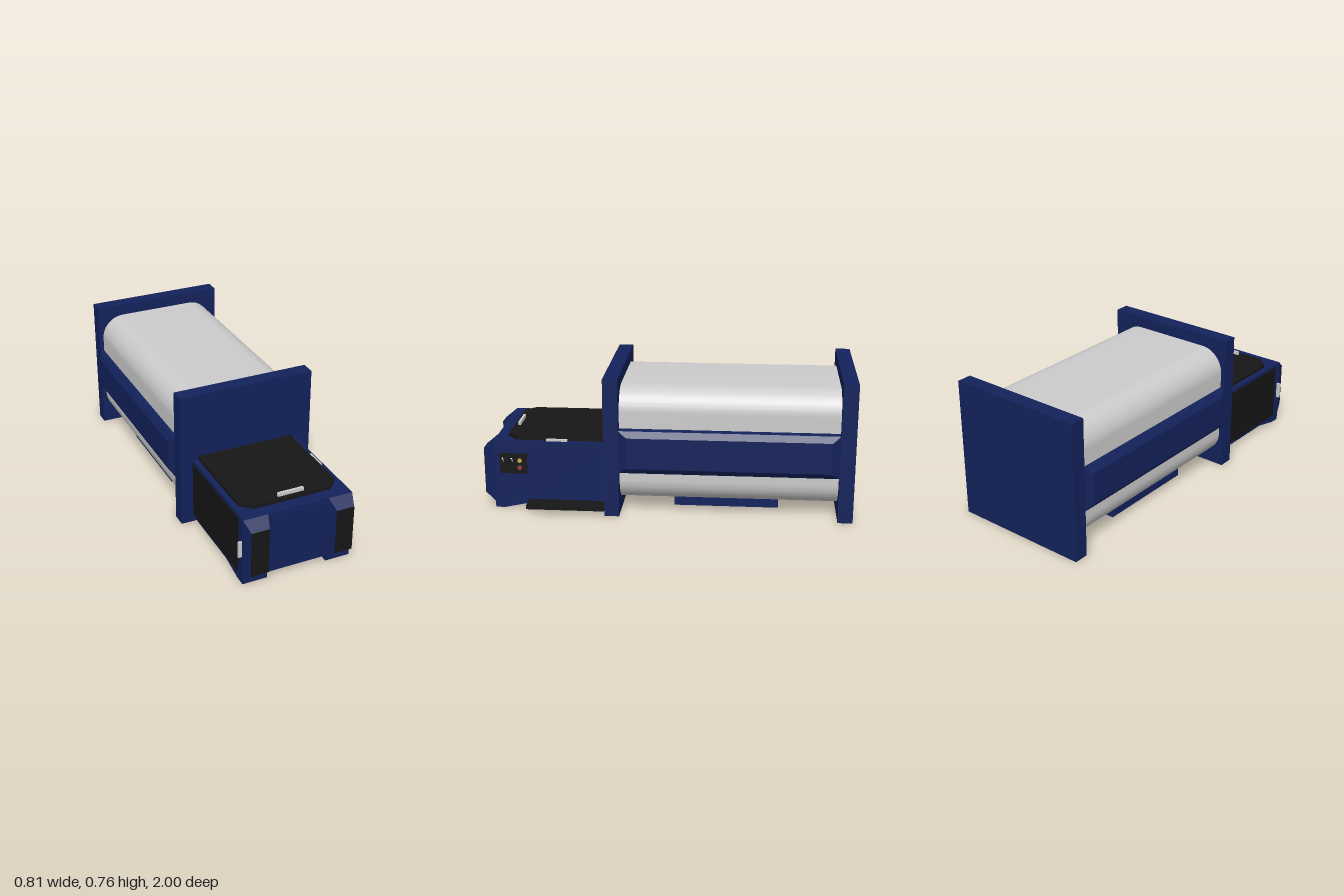
import * as THREE from 'three';
import { toCreasedNormals } from 'three/addons/utils/BufferGeometryUtils.js';

const mat = (color) => new THREE.MeshStandardMaterial({ color });

export function createModel() {
  const model = new THREE.Group();
  const navy = mat(0x13225b), black = mat(0x161616), grey = mat(0xcccccc);
  const yellow = mat(0xc8a850), red = mat(0x9a3a3a);

  const add = (name, geometry, material, parent = model) => {
    const mesh = new THREE.Mesh(geometry, material);
    mesh.name = name;
    parent.add(mesh);
    return mesh;
  };
  // Box given by its limits on each axis
  const box = (name, material, x0, x1, y0, y1, z0, z1) => {
    const g = new THREE.BoxGeometry(x1 - x0, y1 - y0, z1 - z0);
    g.translate((x0 + x1) / 2, (y0 + y1) / 2, (z0 + z1) / 2);
    return add(name, g, material);
  };
  // Box whose +z face is drawn in by insetX and insetY
  const taperedBox = (w, h, d, insetX, insetY) => {
    const g = new THREE.BoxGeometry(w, h, d).toNonIndexed();
    const p = g.attributes.position;
    for (let i = 0; i < p.count; i++) {
      if (p.getZ(i) < 0) continue;
      p.setX(i, p.getX(i) - Math.sign(p.getX(i)) * insetX);
      p.setY(i, p.getY(i) - Math.sign(p.getY(i)) * insetY);
    }
    g.computeVertexNormals();
    return g;
  };
  const polygon = (points) => new THREE.Shape(points.map(([x, y]) => new THREE.Vector2(x, y)));
  const extrude = (shape, depth, curveSegments = 12) =>
    new THREE.ExtrudeGeometry(shape, { depth, bevelEnabled: false, curveSegments });

  // End plates
  box('frontPlate', navy, -0.385, 0.378, 0, 0.765, 0.25, 0.33);
  box('backPlate', navy, -0.385, 0.378, 0, 0.765, -1, -0.92);

  // Rounded tank between the plates
  const x0 = -0.36, x1 = 0.332, y0 = 0.065, y1 = 0.7, r = 0.13;
  const outline = new THREE.Shape();
  outline.absarc(x1 - r, y0 + r, r, -Math.PI / 2, 0);
  outline.absarc(x1 - r, y1 - r, r, 0, Math.PI / 2);
  outline.absarc(x0 + r, y1 - r, r, Math.PI / 2, Math.PI);
  outline.absarc(x0 + r, y0 + r, r, Math.PI, Math.PI * 1.5);
  const tank = toCreasedNormals(extrude(outline, 1.17), 0.5);
  tank.translate(0, 0, -0.92);
  add('tank', tank, grey);
  box('tankUnderside', navy, x0 + r, x1 - r, 0.062, 0.08, -0.92, 0.25);
  box('bottomPlate', navy, -0.29, 0.26, 0.03, 0.075, -0.605, -0.04);

  // Side beams with chamfered outer faces and a raised panel
  for (const side of [1, -1]) {
    const beam = new THREE.Group();
    beam.name = side > 0 ? 'leftBeam' : 'rightBeam';
    const core = add('beamCore', new THREE.BoxGeometry(1.17, 0.235, 0.06), navy, beam);
    core.position.z = -0.03;
    const cover = add('beamCover', taperedBox(1.17, 0.235, 0.025, 0.045, 0.032), navy, beam);
    cover.position.z = 0.0125;
    beam.position.set(side > 0 ? 0.378 : -0.38, 0.3675, -0.335);
    beam.rotation.y = side * Math.PI / 2;
    model.add(beam);
  }

  // Front housing with its shallow panels
  box('housing', navy, -0.315, 0.293, 0.03, 0.383, 0.33, 0.94);
  box('frontPanel', navy, -0.16, 0.14, 0.05, 0.365, 0.935, 0.944);
  box('sidePanel', navy, 0.285, 0.296, 0.05, 0.365, 0.335, 0.74);
  box('sideDoor', black, -0.319, -0.31, 0.045, 0.365, 0.335, 0.89);
  box('sideDoorHandle', grey, -0.335, -0.313, 0.16, 0.25, 0.92, 0.932);

  // Front pillars, each with a dark face and a wedge foot
  for (const cx of [-0.2475, 0.2255]) {
    const pillar = add('pillar', taperedBox(0.137, 0.353, 0.06, 0.02, 0.048), navy);
    pillar.position.set(cx, 0.2065, 0.968);
    box('pillarFace', black, cx - 0.049, cx + 0.049, 0.078, 0.335, 0.98, 1);
    const foot = extrude(polygon([[0.73, 0.035], [0.89, 0], [0.943, 0], [0.943, 0.035]]), 0.137);
    foot.rotateY(-Math.PI / 2);
    foot.translate(cx + 0.0685, 0, 0);
    add('foot', foot, navy);
  }

  // Hood with cut front corners, and handles
  const hood = extrude(polygon([[-0.285, -0.33], [-0.285, -0.815], [-0.225, -0.873],
    [0.205, -0.873], [0.262, -0.815], [0.262, -0.33]]), 0.02);
  hood.rotateX(-Math.PI / 2);
  hood.translate(0, 0.381, 0);
  add('hood', hood, black);
  box('hoodHandle', grey, -0.08, 0.065, 0.4, 0.42, 0.837, 0.851);
  box('hoodLatch', grey, 0.262, 0.278, 0.38, 0.394, 0.54, 0.655);

  // Side step
  box('step', black, 0.28, 0.39, 0.03, 0.053, 0.33, 0.755);

  // Control panel with two levers and two knobs
  box('controlPanel', black, 0.285, 0.2965, 0.2, 0.315, 0.76, 0.91);
  for (const z of [0.84, 0.89]) {
    const lever = add('lever', new THREE.CylinderGeometry(0.004, 0.004, 0.04, 10), grey);
    lever.position.set(0.305, 0.28, z);
    lever.rotation.z = -Math.PI / 4;
  }
  [[yellow, 0.275], [red, 0.235]].forEach(([material, y]) => {
    const knob = add('knob', new THREE.CylinderGeometry(0.012, 0.012, 0.012, 16), material);
    knob.position.set(0.297, y, 0.8);
    knob.rotation.z = -Math.PI / 2;
  });

  return model;
}
